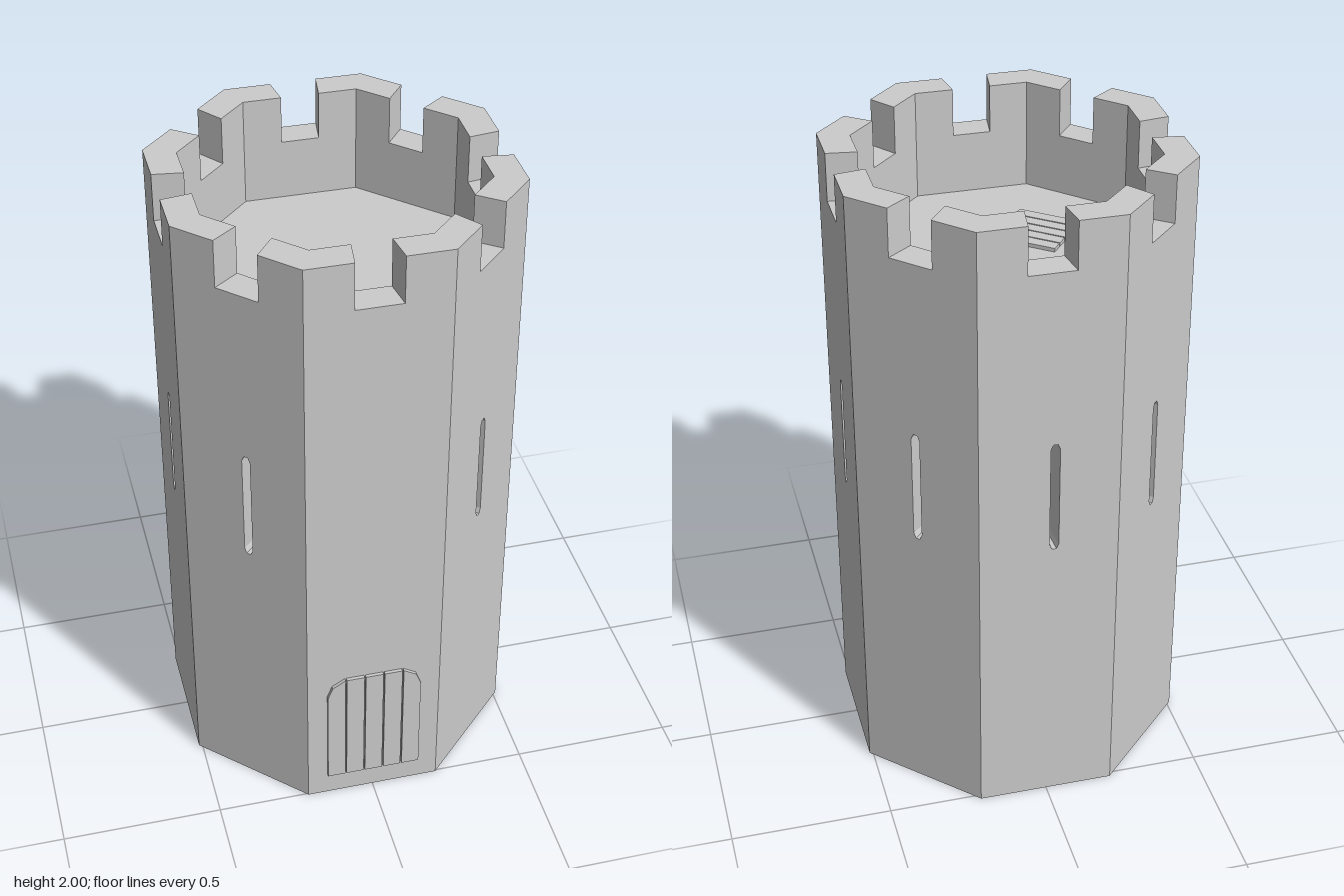
import * as THREE from 'three';

const OUTER = 0.511, INNER = 0.419;          // distance from axis to wall faces
const HALF = OUTER * Math.tan(Math.PI / 8);  // half width of one outer face
const mat = new THREE.MeshStandardMaterial({ color: 0xcccccc, flatShading: true });

function mesh(name, geometry, parent) {
  const m = new THREE.Mesh(geometry, mat);
  m.name = name;
  parent.add(m);
  return m;
}

// One of the eight wall panels: battlement notch on top, optional arrow slit,
// tapered towards the axis so that neighbours meet in a mitre.
function wallPanel(slitX) {
  const s = new THREE.Shape([
    [-HALF, 0], [HALF, 0], [HALF, 2], [0.07, 2], [0.07, 1.85],
    [-0.07, 1.85], [-0.07, 2], [-HALF, 2],
  ].map(([x, y]) => new THREE.Vector2(x, y)));
  if (slitX !== null) {
    const w = 0.014, b = 0.93, t = 1.3;
    s.holes.push(new THREE.Path([
      [-w, b + 0.02], [-w, t - 0.02], [-w / 2, t - 0.003], [w / 2, t - 0.003],
      [w, t - 0.02], [w, b + 0.02], [w / 2, b + 0.003], [-w / 2, b + 0.003],
    ].map(([x, y]) => new THREE.Vector2(x + slitX, y))));
  }
  const depth = OUTER - INNER;
  const src = new THREE.ExtrudeGeometry(s, { depth, bevelEnabled: false });
  const p = src.attributes.position, out = [];
  for (let i = 0; i < p.count; i += 3) {
    // skip the mitre faces hidden between neighbouring panels
    if ([0, 1, 2].every(k => Math.abs(Math.abs(p.getX(i + k)) - HALF) < 1e-5) &&
        Math.abs(p.getX(i) - p.getX(i + 1)) < 1e-5 &&
        Math.abs(p.getX(i) - p.getX(i + 2)) < 1e-5) continue;
    for (let k = 0; k < 3; k++) {
      const z = INNER + p.getZ(i + k);
      out.push(p.getX(i + k) * z / OUTER, p.getY(i + k), z);
    }
  }
  const g = new THREE.BufferGeometry();
  g.setAttribute('position', new THREE.Float32BufferAttribute(out, 3));
  g.computeVertexNormals();
  return g;
}

// Octagonal floor slab fitting inside the walls
function slab(name, bottom, top, parent) {
  const r = INNER / Math.cos(Math.PI / 8);
  const g = new THREE.CylinderGeometry(r, r, top - bottom, 8);
  g.rotateY(Math.PI / 8);
  mesh(name, g, parent).position.y = (bottom + top) / 2;
}

// Upright door plank; side = -1 or 1 rounds that upper corner
function doorPlank(w, h, side) {
  const a = w / 2, s = new THREE.Shape();
  s.moveTo(-a, 0);
  s.lineTo(a, 0);
  if (side > 0) {
    s.lineTo(a, h - 0.065);
    s.lineTo(a - 0.015, h - 0.025);
    s.lineTo(-a, h);
  } else if (side < 0) {
    s.lineTo(a, h);
    s.lineTo(-a + 0.015, h - 0.025);
    s.lineTo(-a, h - 0.065);
  } else {
    s.lineTo(a, h);
    s.lineTo(-a, h);
  }
  return new THREE.ExtrudeGeometry(s, { depth: 0.021, bevelEnabled: false });
}

export function createModel() {
  const model = new THREE.Group();
  model.name = 'tower';
  const body = new THREE.Group();
  body.name = 'towerBody';
  body.position.z = -0.006;
  model.add(body);

  // Walls, counted from the front face towards +x; the front has no slit
  const slits = [null, 0, 0.013, 0, 0.015, 0, 0.013, 0.012];
  slits.forEach((x, i) => {
    mesh('wall' + (i + 1), wallPanel(x), body).rotation.y = i * Math.PI / 4;
  });

  // Ground floor and roof deck
  slab('groundFloor', 0.08, 0.12, body);
  slab('roofDeck', 1.6, 1.66, body);

  // Planked door on the front wall
  const door = new THREE.Group();
  door.name = 'door';
  door.position.set(0, 0.08, OUTER - 0.01);
  body.add(door);
  for (let i = -2; i <= 2; i++) {
    const side = Math.abs(i) === 2 ? Math.sign(i) : 0;
    mesh('doorPlank', doorPlank(0.056, 0.41, side), door).position.x = i * 0.0605;
  }

  // Planked hatch lying on the roof deck
  const hatch = new THREE.Group();
  hatch.name = 'roofHatch';
  hatch.position.set(-0.12, 1.66, 0.093);
  hatch.rotation.y = -0.67;
  body.add(hatch);
  for (let i = -2; i <= 2; i++) {
    mesh('hatchPlank', new THREE.BoxGeometry(0.198, 0.024, 0.036), hatch).position.z = i * 0.04;
  }
  return model;
}
